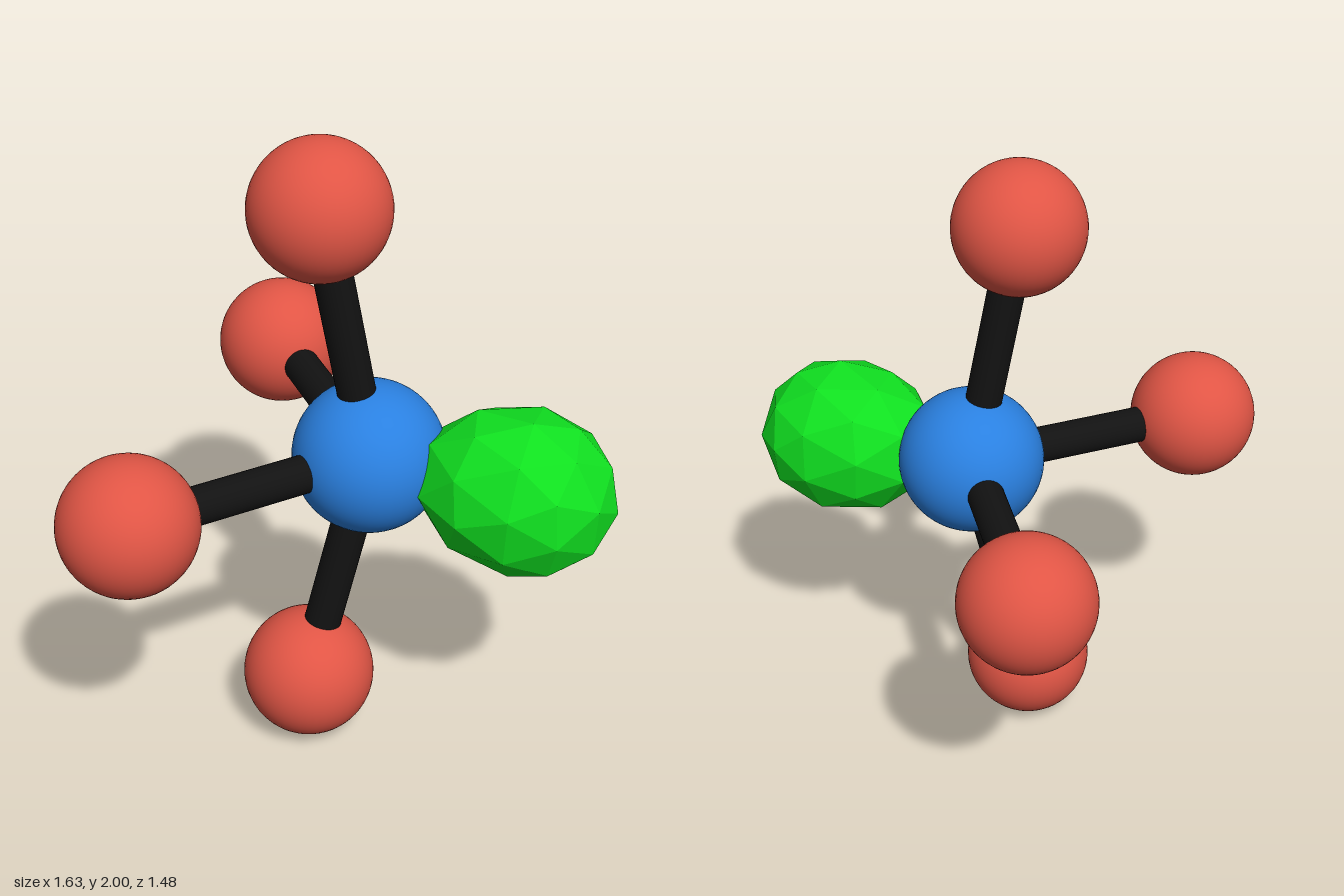
import * as THREE from 'three';

const CENTER = new THREE.Vector3(0.115, 0.99, 0.235);
const UP = new THREE.Vector3(0, 1, 0);

const paint = (color, flatShading = false) => new THREE.MeshStandardMaterial({ color, flatShading });

function ball(name, position, radius, material) {
  const mesh = new THREE.Mesh(new THREE.SphereGeometry(radius, 48, 32), material);
  mesh.name = name;
  mesh.position.copy(position);
  return mesh;
}

// Rod running between two ball centres
function rod(name, from, to, radius, material) {
  const dir = to.clone().sub(from);
  const mesh = new THREE.Mesh(new THREE.CylinderGeometry(radius, radius, dir.length(), 32), material);
  mesh.name = name;
  mesh.position.copy(from).addScaledVector(dir, 0.5);
  mesh.quaternion.setFromUnitVectors(UP, dir.normalize());
  return mesh;
}

// Faceted ball with one corner at the top, its lower half drawn out towards the centre
function lobeGeometry(radius, front, rear) {
  const geo = new THREE.IcosahedronGeometry(1, 1);
  const corner = new THREE.Vector3(-1, (1 + Math.sqrt(5)) / 2, 0).normalize();
  geo.applyQuaternion(new THREE.Quaternion().setFromUnitVectors(corner, UP));
  const p = geo.attributes.position;
  for (let i = 0; i < p.count; i++) {
    const y = p.getY(i);
    p.setXYZ(i, p.getX(i) * radius, y * (y > 0 ? front : rear), p.getZ(i) * radius);
  }
  geo.computeVertexNormals();
  return geo;
}

export function createModel() {
  const model = new THREE.Group();
  const red = paint(0xe05545);
  const black = paint(0x121212);

  model.add(ball('centerBall', CENTER, 0.233, paint(0x2a80e0)));

  // Outer balls with their connecting rods
  const outer = {
    top: [-0.035, 1.795, 0.24],
    bottom: [-0.07, 0.207, 0.24],
    right: [-0.613, 0.99, 0.53],
    back: [-0.065, 0.99, -0.535],
  };
  for (const [name, xyz] of Object.entries(outer)) {
    const end = new THREE.Vector3(...xyz);
    model.add(ball(name + 'Ball', end, 0.206, red));
    model.add(rod(name + 'Rod', CENTER, end, 0.058, black));
  }

  // Teardrop lobe pointing forward and to the left
  const axis = new THREE.Vector3(0.9, -0.07, 0.435).normalize();
  const lobe = new THREE.Mesh(lobeGeometry(0.255, 0.275, 0.34), paint(0x10e020, true));
  lobe.name = 'lobe';
  lobe.position.copy(CENTER).addScaledVector(axis, 0.48);
  lobe.quaternion.setFromUnitVectors(UP, axis);
  model.add(lobe);

  return model;
}
